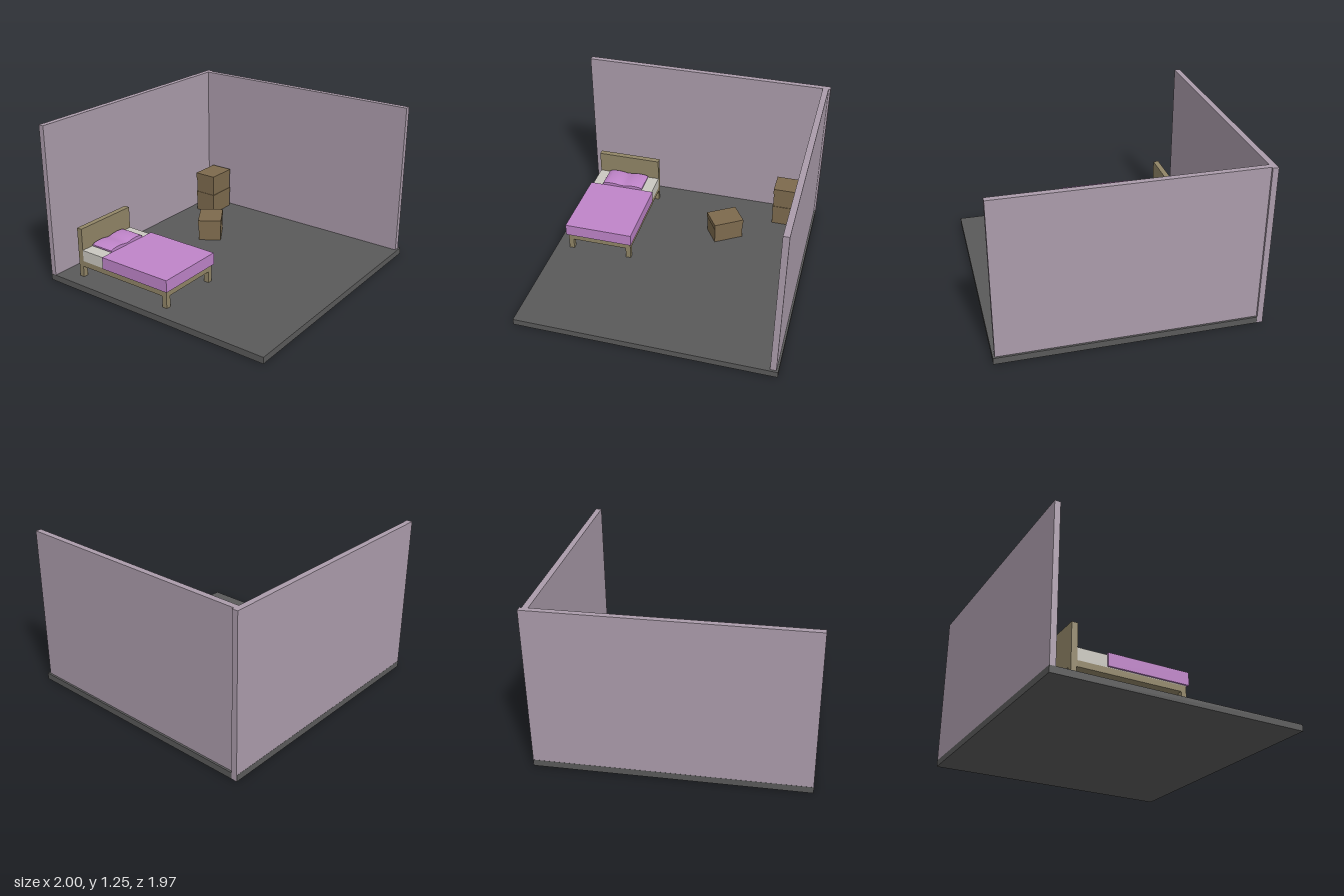
import * as THREE from 'three';

const mat = (color) => new THREE.MeshStandardMaterial({ color });
const wallMat = mat(0xab9cab), floorMat = mat(0x5a5a5a), woodMat = mat(0x918567);
const sheetMat = mat(0xcac8c0), coverMat = mat(0xbf84c9), cartonMat = mat(0x7d6a4d);

// Box given by its extents on each axis
function block(parent, name, material, [x0, x1], [y0, y1], [z0, z1]) {
  const mesh = new THREE.Mesh(new THREE.BoxGeometry(x1 - x0, y1 - y0, z1 - z0), material);
  mesh.position.set((x0 + x1) / 2, (y0 + y1) / 2, (z0 + z1) / 2);
  mesh.name = name;
  parent.add(mesh);
  return mesh;
}

// Soft pillow: a divided box, thin at the rim and slightly sunk in the middle
function pillow() {
  const w = 0.345, d = 0.195;
  const geo = new THREE.BoxGeometry(w, 1, d, 16, 1, 10);
  const p = geo.attributes.position;
  for (let i = 0; i < p.count; i++) {
    const u = p.getX(i) / (w / 2), v = p.getZ(i) / (d / 2);
    const rim = Math.sqrt(Math.max(0, (1 - u ** 4) * (1 - 0.6 * v * v)));
    const dent = 0.012 * Math.exp(-(u * u) / 0.08);
    p.setY(i, p.getY(i) > 0 ? 0.012 + 0.024 * rim - dent : -0.004 * rim);
  }
  geo.computeVertexNormals();
  const mesh = new THREE.Mesh(geo, coverMat);
  mesh.name = 'pillow';
  mesh.position.set(-0.627, 0.282, -0.627);
  return mesh;
}

function bed() {
  const g = new THREE.Group();
  g.name = 'bed';
  const x = [-0.89, -0.365];
  block(g, 'headboard', woodMat, x, [0.14, 0.45], [-0.785, -0.74]);
  block(g, 'bedFrame', woodMat, x, [0.14, 0.185], [-0.74, 0.08]);
  for (const lx of [-0.89, -0.405])
    for (const lz of [-0.785, 0.04])
      block(g, 'bedLeg', woodMat, [lx, lx + 0.04], [0.05, 0.14], [lz, lz + 0.04]);
  block(g, 'mattress', sheetMat, x, [0.185, 0.275], [-0.74, 0.08]);
  block(g, 'blanket', coverMat, [-0.905, -0.355], [0.19, 0.285], [-0.525, 0.095]);
  g.add(pillow());
  return g;
}

// Storage box with a lid a little wider than its body
function storageBox(x, y, z, turn) {
  const g = new THREE.Group();
  g.name = 'storageBox';
  block(g, 'boxBody', cartonMat, [-0.121, 0.121], [0, 0.13], [-0.091, 0.091]);
  block(g, 'boxLid', cartonMat, [-0.125, 0.125], [0.13, 0.175], [-0.095, 0.095]);
  g.position.set(x, y, z);
  g.rotation.y = turn;
  return g;
}

export function createModel() {
  const room = new THREE.Group();
  room.name = 'bedroom';
  // Floor and the two walls
  block(room, 'floor', floorMat, [-1, 1], [0, 0.05], [-0.985, 0.985]);
  block(room, 'backWall', wallMat, [-0.999, 1.001], [0.001, 1.25], [-0.984, -0.94]);
  block(room, 'sideWall', wallMat, [0.94, 0.985], [0.05, 1.25], [-0.94, 0.97]);
  // Furniture: bed, a stack of two boxes and one loose box
  room.add(bed());
  room.add(storageBox(0.78, 0.05, -0.77, 0), storageBox(0.78, 0.225, -0.77, 0));
  room.add(storageBox(0.3, 0.05, -0.436, 0.575));
  return room;
}
